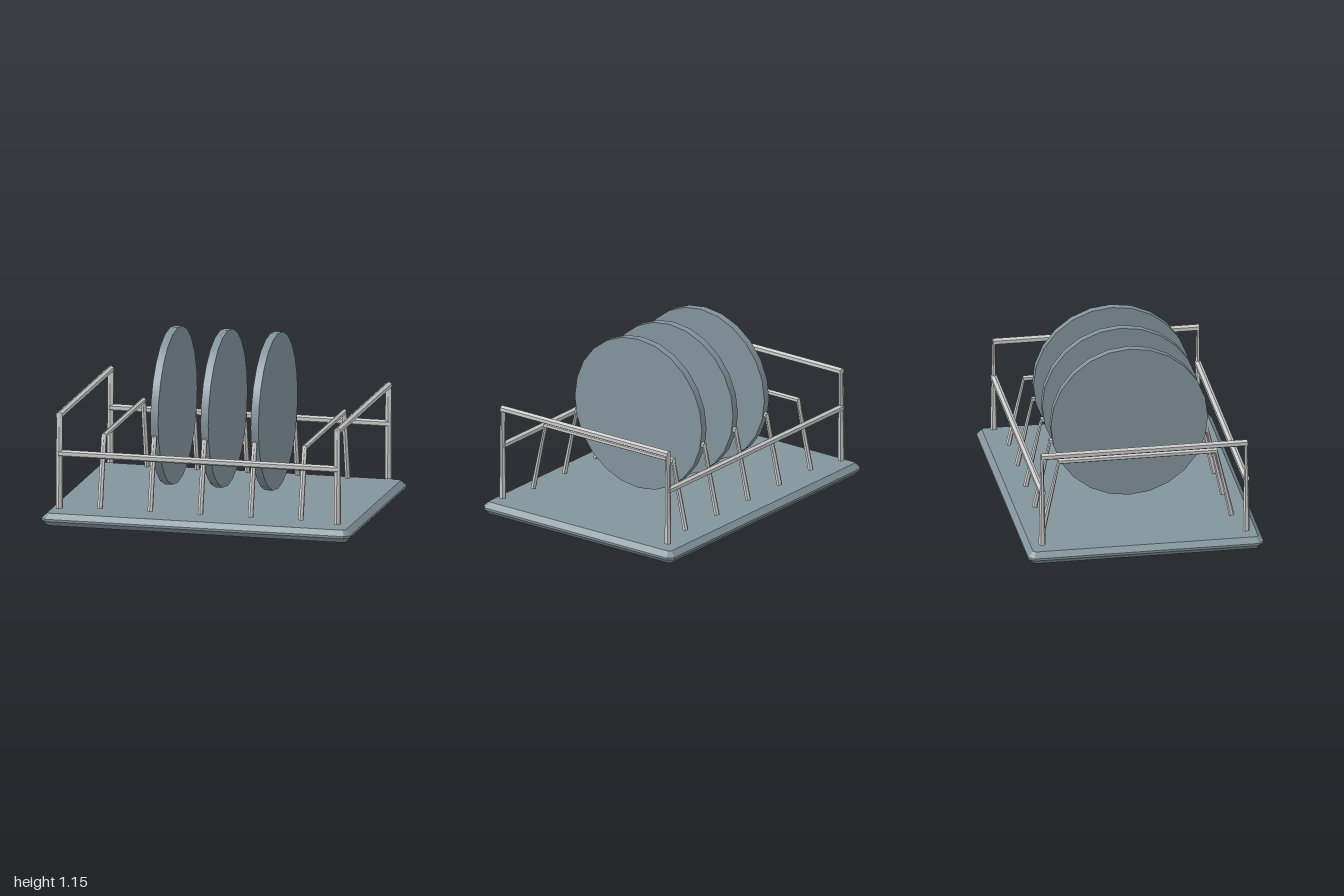
import * as THREE from 'three';

const steel = new THREE.MeshStandardMaterial({ color: 0xcccccc, flatShading: true });
const trayMaterial = new THREE.MeshStandardMaterial({ color: 0x82949c, flatShading: true });
const plateMaterial = new THREE.MeshStandardMaterial({ color: 0x82949c });

// Six-sided rod between two points; its far end can be flattened front to back.
function rod(name, a, b, radius, { flatten = 1, turn = 0 } = {}) {
  const start = new THREE.Vector3(...a);
  const end = new THREE.Vector3(...b);
  const direction = end.clone().sub(start);
  const geometry = new THREE.CylinderGeometry(radius, radius, direction.length(), 6);
  geometry.rotateY(turn);
  const p = geometry.attributes.position;
  for (let i = 0; i < p.count; i++) {
    if (p.getY(i) > 0) p.setZ(i, p.getZ(i) * flatten);
  }
  geometry.computeVertexNormals();
  const mesh = new THREE.Mesh(geometry, steel);
  mesh.name = name;
  mesh.position.copy(start).add(end).multiplyScalar(0.5);
  mesh.quaternion.setFromUnitVectors(new THREE.Vector3(0, 1, 0), direction.normalize());
  return mesh;
}

// Bent wire frame: two legs joined by a bar running front to back.
function wireFrame(name, x, footZ, topZ, topY, radius, flatten) {
  const frame = new THREE.Group();
  frame.name = name;
  for (const s of [1, -1]) {
    const label = s > 0 ? 'frontLeg' : 'backLeg';
    frame.add(rod(label, [x, 0.1, s * footZ], [x, topY + 0.005, s * topZ], radius, { flatten }));
  }
  frame.add(rod('topBar', [x, topY, topZ + 0.007], [x, topY, -topZ - 0.007], radius));
  return frame;
}

// Bevelled tray with clipped corners.
function tray() {
  const bevel = 0.033, w = 1 - bevel, d = 0.75 - bevel, c = 0.015;
  const shape = new THREE.Shape([
    [w - c, -d], [w, c - d], [w, d - c], [w - c, d],
    [c - w, d], [-w, d - c], [-w, c - d], [c - w, -d],
  ].map(([x, y]) => new THREE.Vector2(x, y)));
  const geometry = new THREE.ExtrudeGeometry(shape, {
    depth: 0.014, bevelThickness: bevel, bevelSize: bevel, bevelSegments: 1,
  });
  geometry.rotateX(-Math.PI / 2).translate(0, bevel, 0);
  const mesh = new THREE.Mesh(geometry, trayMaterial);
  mesh.name = 'tray';
  return mesh;
}

export function createModel() {
  const rack = new THREE.Group();
  rack.name = 'dishRack';
  rack.add(tray());

  // Tall frames at both ends
  for (const s of [1, -1]) {
    rack.add(wireFrame(s > 0 ? 'leftEndFrame' : 'rightEndFrame', s * 0.9, 0.65, 0.65, 0.7, 0.0225, 0.4));
  }

  // Long rails along front and back
  for (const s of [1, -1]) {
    rack.add(rod(s > 0 ? 'frontRail' : 'backRail', [-0.905, 0.455, s * 0.65], [0.905, 0.455, s * 0.65],
      0.0225, { turn: Math.PI / 2 }));
  }

  // Low dividers with splayed legs
  for (let i = -2; i <= 2; i++) {
    rack.add(wireFrame('divider', i * 0.325, 0.6, 0.5, 0.548, 0.018, 0.5));
  }

  // Plates standing in the middle
  const plateGeometry = new THREE.CylinderGeometry(0.5, 0.5, 0.05, 24).rotateZ(Math.PI / 2);
  for (let i = -1; i <= 1; i++) {
    const plate = new THREE.Mesh(plateGeometry, plateMaterial);
    plate.name = 'plate';
    plate.position.set(i * 0.325, 0.65, 0);
    rack.add(plate);
  }
  return rack;
}
